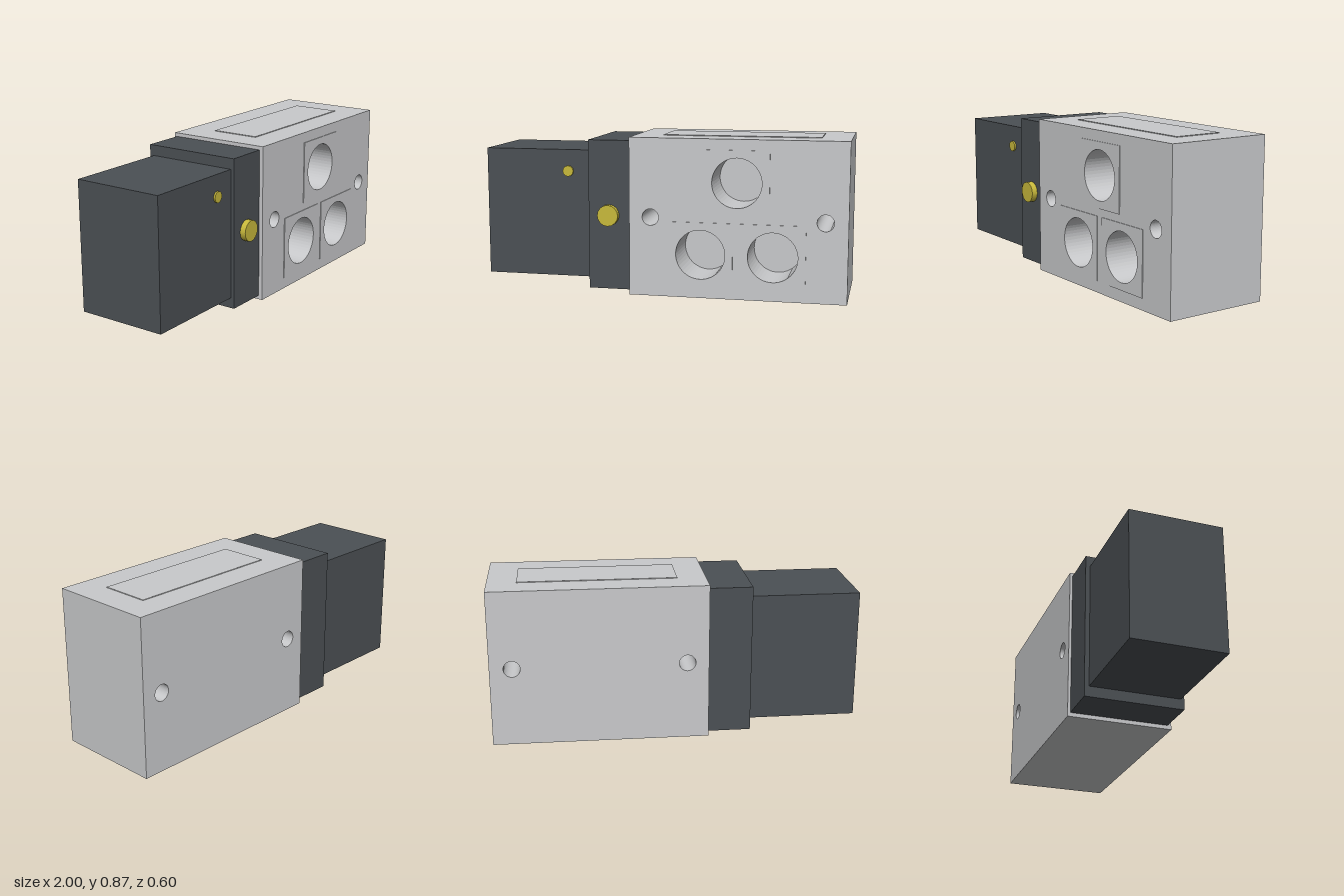
import * as THREE from 'three';

export function createModel() {
  const model = new THREE.Group();
  const material = (name, color) => {
    const m = new THREE.MeshStandardMaterial({ color });
    m.name = name;
    return m;
  };
  const silver = material('silver grey', 0xc8c9cb);
  const dark = material('dark grey', 0x4b5054);
  const brass = material('brass yellow', 0xc8b93c);

  const add = (name, geometry, mat) => {
    const mesh = new THREE.Mesh(geometry, mat);
    mesh.name = name;
    model.add(mesh);
    return mesh;
  };

  // Box given by its limits on each axis
  const block = (name, mat, [x0, x1], [y0, y1], [z0, z1]) =>
    add(name, new THREE.BoxGeometry(x1 - x0, y1 - y0, z1 - z0), mat)
      .position.set((x0 + x1) / 2, (y0 + y1) / 2, (z0 + z1) / 2);

  // Rectangular slab along z, pierced by round holes [x, y, radius]
  const slab = (name, [x0, x1], [y0, y1], [z0, z1], holes) => {
    const shape = new THREE.Shape();
    shape.moveTo(x0, y0).lineTo(x1, y0).lineTo(x1, y1).lineTo(x0, y1).closePath();
    for (const [x, y, r] of holes) {
      shape.holes.push(new THREE.Path().absarc(x, y, r, 0, Math.PI * 2, true));
    }
    const geometry = new THREE.ExtrudeGeometry(shape, {
      depth: z1 - z0, bevelEnabled: false, curveSegments: 24,
    });
    add(name, geometry, silver).position.z = z0;
  };

  // Round button facing the front
  const button = (name, x, y, radius, z0, z1, sides) => {
    const geometry = new THREE.CylinderGeometry(radius, radius, z1 - z0, sides);
    geometry.rotateX(Math.PI / 2);
    add(name, geometry, brass).position.set(x, y, (z0 + z1) / 2);
  };

  // Valve body: mounting holes run right through, ports stop at the back section
  const bodyX = [-0.177, 1], bodyY = [0, 0.863];
  const mounts = [[-0.06, 0.433, 0.045], [0.88, 0.433, 0.045]];
  const ports = [[0.41, 0.63, 0.134], [0.215, 0.238, 0.134], [0.605, 0.238, 0.134]];
  slab('bodyBack', bodyX, bodyY, [-0.3, 0.028], mounts);
  slab('bodyFront', bodyX, bodyY, [0.028, 0.289], [...mounts, ...ports]);

  // Thin raised pads around the ports
  for (const port of ports) {
    const [x, y] = port;
    slab('portPad', [x - 0.175, x + 0.175], [y - 0.175, y + 0.175], [0.289, 0.293], [port]);
  }

  // Raised plate on top
  block('topPlate', silver, [-0.02, 0.84], [0.862, 0.867], [-0.14, 0.133]);

  // Pilot collar and end cover
  block('collar', dark, [-0.411, -0.177], [0.022, 0.843], [-0.285, 0.267]);
  block('endCover', dark, [-1, -0.411], [0.08, 0.785], [-0.26, 0.248]);

  // Manual override and indicator
  button('overrideButton', -0.297, 0.433, 0.058, 0.25, 0.3, 16);
  button('indicator', -0.531, 0.667, 0.03, 0.24, 0.258, 12);

  return model;
}
